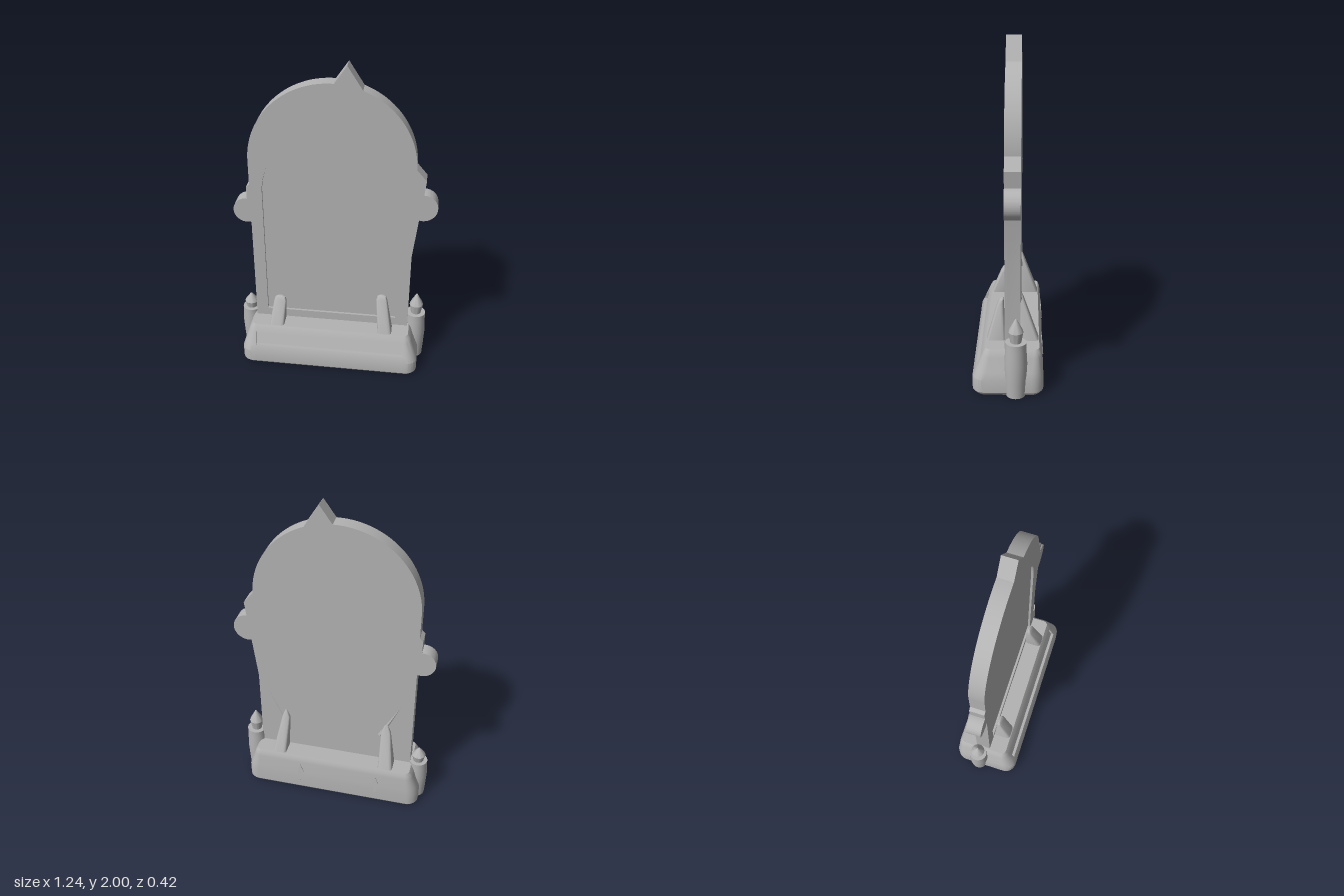
import * as THREE from 'three';
import { toCreasedNormals } from 'three/addons/utils/BufferGeometryUtils.js';

const stone = new THREE.MeshStandardMaterial({ color: 0xb3b3b3 });
stone.name = 'grey stone';

function part(group, name, geometry) {
  const mesh = new THREE.Mesh(toCreasedNormals(geometry, 0.5), stone);
  mesh.name = name;
  group.add(mesh);
  return mesh;
}

// Horizontal rounded rectangle; frontX adds fixed points along the front edge
function ring([y, x0, x1, z0, z1, r], frontX = []) {
  const pts = [], n = 6;
  const corners = [[x1 - r, z1 - r], [x0 + r, z1 - r], [x0 + r, z0 + r], [x1 - r, z0 + r]];
  corners.forEach(([cx, cz], c) => {
    for (let i = 0; i <= n; i++) {
      const a = (c + i / n) * Math.PI / 2;
      pts.push(new THREE.Vector3(cx + r * Math.cos(a), y, cz + r * Math.sin(a)));
    }
    if (c === 0) for (const x of frontX) pts.push(new THREE.Vector3(x, y, z1));
  });
  return pts;
}

// Capped skin through rings; an optional slot sinks one quad inwards
function loft(rings, slot) {
  const pos = [];
  const tri = (...v) => v.forEach(p => pos.push(p.x, p.y, p.z));
  const quad = (a, b, c, d) => { tri(a, b, c); tri(a, c, d); };
  const n = rings[0].length;
  for (let i = 0; i < rings.length - 1; i++) {
    for (let j = 0; j < n; j++) {
      const k = (j + 1) % n, lo = rings[i], hi = rings[i + 1];
      const outer = [lo[j], hi[j], hi[k], lo[k]];
      if (slot && slot.band === i && slot.side === j) {
        const inner = outer.map(p => p.clone().add(new THREE.Vector3(0, 0, -slot.depth)));
        outer.forEach((p, e) => quad(p, outer[(e + 1) % 4], inner[(e + 1) % 4], inner[e]));
        quad(...inner);
      } else quad(...outer);
    }
  }
  const centre = r => r.reduce((s, p) => s.add(p), new THREE.Vector3()).divideScalar(n);
  const top = rings[rings.length - 1], bottom = rings[0];
  const ct = centre(top), cb = centre(bottom);
  for (let j = 0; j < n; j++) {
    const k = (j + 1) % n;
    tri(ct, top[k], top[j]);
    tri(cb, bottom[j], bottom[k]);
  }
  const g = new THREE.BufferGeometry();
  g.setAttribute('position', new THREE.Float32BufferAttribute(pos, 3));
  return g;
}

// Arched slab outline with a spike on top and a knob on each side
function slabShape() {
  const s = new THREE.Shape();
  s.moveTo(-0.51, 0.2);
  s.lineTo(0.48, 0.2);
  s.lineTo(0.48, 0.8);
  s.lineTo(0.51, 1.065);
  s.absarc(0.53, 1.15, 0.087, -1.8, 1.57);
  s.lineTo(0.54, 1.33);
  s.lineTo(0.48, 1.4);
  s.absarc(-0.015, 1.4, 0.495, 0.02, 1.207);
  s.lineTo(0.073, 2);
  s.lineTo(0, 1.895);
  s.absarc(-0.015, 1.4, 0.495, 1.56, Math.PI);
  s.lineTo(-0.51, 1.24);
  s.lineTo(-0.53, 1.22);
  s.absarc(-0.535, 1.058, 0.082, 1.5, 4.98);
  s.lineTo(-0.51, 0.975);
  return s;
}

function extrude(shape, z0, z1) {
  const g = new THREE.ExtrudeGeometry(shape, { depth: z1 - z0, bevelEnabled: false, curveSegments: 28 });
  return g.translate(0, 0, z0);
}

// Candle: bulging body with a pointed flame
function candle(name, x, height, bodyR, flameH) {
  const group = new THREE.Group();
  group.name = name;
  const lathe = pts => new THREE.LatheGeometry(pts.map(p => new THREE.Vector2(...p)), 28);
  part(group, 'candleBody', lathe([[0, 0], [bodyR * 0.92, 0], [bodyR, height * 0.25], [bodyR * 1.08, height * 0.6],
    [bodyR, height * 0.85], [bodyR, height], [0, height]]));
  part(group, 'candleFlame', lathe([[0, height - 0.01], [0.03, height - 0.01], [0.043, height + flameH * 0.45],
    [0.036, height + flameH * 0.58], [0.005, height + flameH], [0, height + flameH]]));
  group.position.set(x, 0, -0.045);
  return group;
}

export function createModel() {
  const model = new THREE.Group();

  // Sloped base with a sunken front strip
  const levels = [
    [0, -0.57, 0.54, -0.19, 0.19, 0.06],
    [0.02, -0.585, 0.555, -0.205, 0.207, 0.07],
    [0.1, -0.585, 0.555, -0.205, 0.207, 0.07],
    [0.14, -0.573, 0.541, -0.201, 0.188, 0.065],
    [0.22, -0.545, 0.513, -0.194, 0.154, 0.046],
    [0.245, -0.535, 0.505, -0.19, 0.143, 0.04],
    [0.265, -0.52, 0.49, -0.18, 0.13, 0.028],
  ];
  part(model, 'base', loft(levels.map(l => ring(l, [0.46, -0.49])), { band: 3, side: 7, depth: 0.018 }));

  // Slab and the raised frame around its panel
  part(model, 'slab', extrude(slabShape(), -0.07, 0.006));
  const frame = slabShape();
  const hole = new THREE.Path();
  hole.moveTo(-0.435, 0.32);
  hole.lineTo(-0.435, 1.19);
  hole.absarc(-0.0175, 1.19, 0.4175, Math.PI, 0, true);
  hole.lineTo(0.4, 0.32);
  frame.holes.push(hole);
  part(model, 'frame', extrude(frame, 0.006, 0.021));

  // Leaning props: bottom and top x ranges, top height
  const props = [
    ['Right', -0.41, -0.315, -0.385, -0.305, 0.445],
    ['Left', 0.295, 0.385, 0.275, 0.345, 0.51],
  ];
  for (const [side, a0, a1, b0, b1, h] of props) {
    part(model, 'frontProp' + side, loft([
      ring([0.25, a0, a1, 0.018, 0.133, 0.02]),
      ring([h - 0.03, b0, b1, 0.03, 0.065, 0.015]),
      ring([h - 0.008, b0 + 0.008, b1 - 0.008, 0.032, 0.052, 0.009]),
      ring([h, b0 + 0.025, b1 - 0.025, 0.034, 0.044, 0.004]),
    ]));
    part(model, 'backProp' + side, loft([
      ring([0.25, a0, a1, -0.182, -0.06, 0.02]),
      ring([0.5, b0 + 0.01, b1 - 0.01, -0.092, -0.06, 0.012]),
      ring([0.55, b0 + 0.03, b1 - 0.03, -0.074, -0.06, 0.005]),
    ]));
    // Thin ridge running outwards up the back
    const out = Math.sign(a0);
    const ridge = new THREE.ConeGeometry(0.02, 0.36, 4);
    ridge.scale(1, 1, 0.5).rotateZ(-out * 0.45).translate(out * 0.385, 0.62, -0.068);
    part(model, 'backRidge' + side, ridge);
  }

  // Small diamond plates on the back of the base
  for (const x of [-0.31, 0.19]) {
    const d = new THREE.Shape([[0, -0.065], [0.02, 0.01], [0, 0.065], [-0.02, 0.01]].map(p => new THREE.Vector2(...p)));
    const m = part(model, 'backDiamond', extrude(d, -0.004, 0.004));
    m.position.set(x, 0.14, -0.201);
    m.rotation.x = 0.08;
  }

  // Candles beside the base
  model.add(candle('leftCandle', 0.53, 0.335, 0.061, 0.14));
  model.add(candle('rightCandle', -0.56, 0.28, 0.058, 0.1));
  return model;
}
